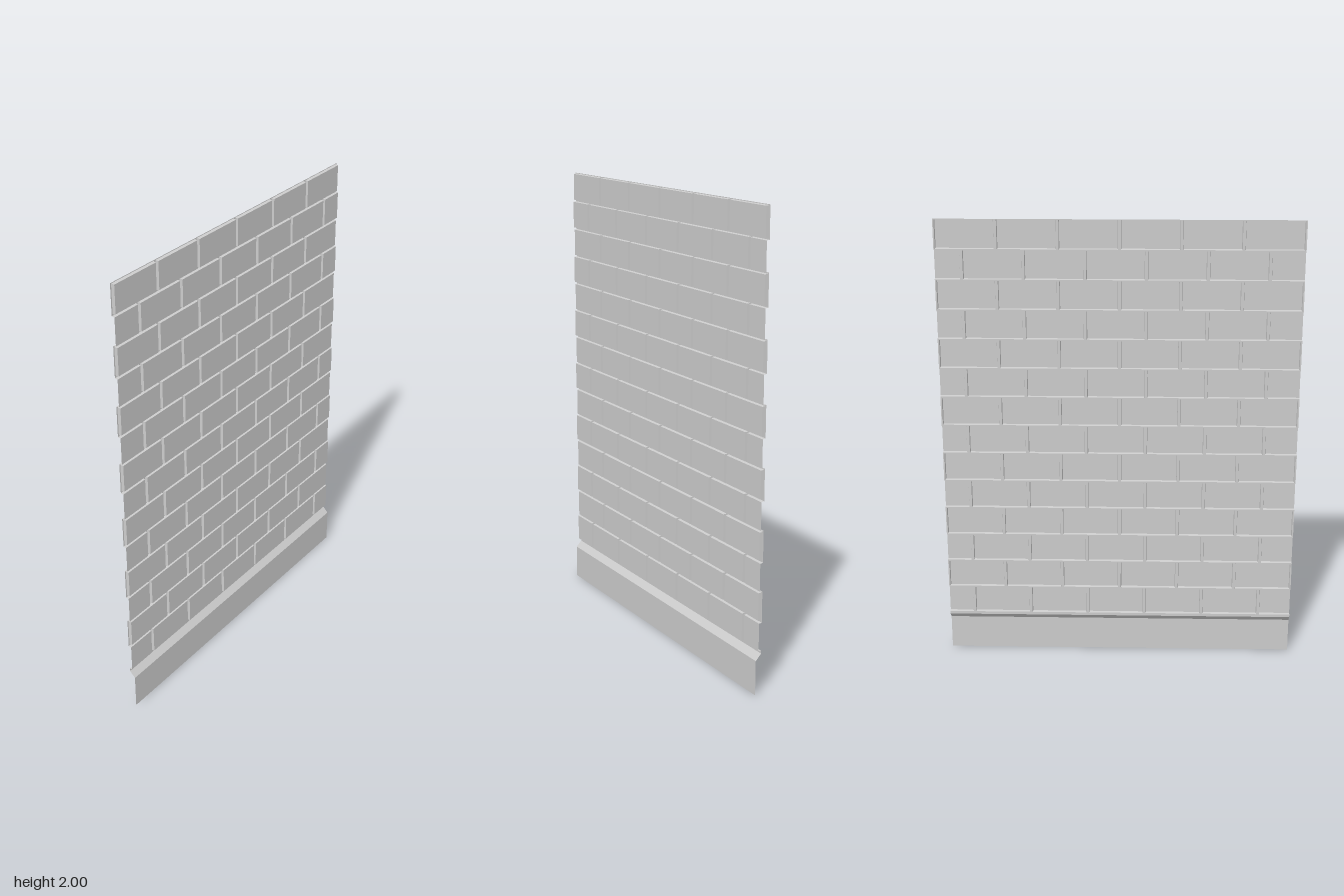
import * as THREE from 'three';

const HALF_W = 0.775, TOP = 2, WALL_BOTTOM = 0.19;
const ROWS = 14, ROW_H = (TOP - WALL_BOTTOM) / ROWS, BRICK_W = HALF_W / 3;
const FACE_Z = 0, JOINT_Z = -0.013, BASE_Z = 0.013;
const GAP_X = 0.008, GAP_Y = 0.005; // half joint widths at the brick face
const BEVEL = 0.002;                // joints narrow slightly toward the back

// Collects four-cornered faces (counter-clockwise from outside) into one mesh
function sheet(name) {
  const pos = [];
  return {
    quad(a, b, c, d) { pos.push(...a, ...b, ...c, ...a, ...c, ...d); },
    rect(x0, x1, y0, y1, z) {
      this.quad([x0, y0, z], [x1, y0, z], [x1, y1, z], [x0, y1, z]);
    },
    mesh() {
      const geo = new THREE.BufferGeometry();
      geo.setAttribute('position', new THREE.Float32BufferAttribute(pos, 3));
      geo.computeVertexNormals();
      const mat = new THREE.MeshStandardMaterial({ color: 0xcccccc, side: THREE.DoubleSide });
      const m = new THREE.Mesh(geo, mat);
      m.name = name;
      return m;
    },
  };
}

// Raised brick, hollow behind; cut ends stay open at the panel edge
function addBrick(s, x0, x1, y0, y1, openLeft, openRight) {
  const fx0 = openLeft ? x0 : x0 + GAP_X, fx1 = openRight ? x1 : x1 - GAP_X;
  const bx0 = openLeft ? x0 : fx0 - BEVEL, bx1 = openRight ? x1 : fx1 + BEVEL;
  const fy0 = y0 + GAP_Y, fy1 = y1 - GAP_Y, by0 = fy0 - BEVEL, by1 = fy1 + BEVEL;
  const f = [[fx0, fy0], [fx1, fy0], [fx1, fy1], [fx0, fy1]].map(p => [...p, FACE_Z]);
  const b = [[bx0, by0], [bx1, by0], [bx1, by1], [bx0, by1]].map(p => [...p, JOINT_Z]);
  s.quad(...f);
  for (let i = 0; i < 4; i++) {
    if ((i === 1 && openRight) || (i === 3 && openLeft)) continue;
    const j = (i + 1) % 4;
    s.quad(b[i], b[j], f[j], f[i]);
  }
}

export function createModel() {
  const group = new THREE.Group();
  group.name = 'brickWallPanel';
  const bricks = sheet('bricks'), joints = sheet('mortarJoints'), base = sheet('baseboard');
  const jx = GAP_X - BEVEL, jy = GAP_Y - BEVEL;

  for (let r = 0; r < ROWS; r++) {
    const y0 = WALL_BOTTOM + r * ROW_H, y1 = y0 + ROW_H;
    const offsetRow = r % 2 === 0;

    // Brick boundaries: full bricks, or a staggered row with cut ends
    const xs = [];
    if (offsetRow) {
      xs.push(-HALF_W);
      for (let i = 0; i < 6; i++) xs.push(-0.63 + i * BRICK_W);
      xs.push(HALF_W);
    } else {
      for (let i = 0; i <= 6; i++) xs.push(-HALF_W + i * BRICK_W);
    }
    const last = xs.length - 1;
    for (let i = 0; i < last; i++) {
      addBrick(bricks, xs[i], xs[i + 1], y0, y1, offsetRow && i === 0, offsetRow && i === last - 1);
    }

    // Upright joints, halved at the ends of full rows
    xs.forEach((x, i) => {
      if (offsetRow && (i === 0 || i === last)) return;
      joints.rect(Math.max(x - jx, -HALF_W), Math.min(x + jx, HALF_W), y0 + jy, y1 - jy, JOINT_Z);
    });
  }

  // Level joints between rows
  for (let r = 0; r <= ROWS; r++) {
    const y = WALL_BOTTOM + r * ROW_H;
    joints.rect(-HALF_W, HALF_W, r === 0 ? 0.18 : y - jy, Math.min(y + jy, TOP), JOINT_Z);
  }

  // Baseboard with a sloped top running back to the joint plane
  base.rect(-HALF_W, HALF_W, 0, 0.153, BASE_Z);
  base.quad([-HALF_W, 0.153, BASE_Z], [HALF_W, 0.153, BASE_Z],
    [HALF_W, 0.18, JOINT_Z], [-HALF_W, 0.18, JOINT_Z]);

  group.add(bricks.mesh(), joints.mesh(), base.mesh());
  return group;
}
